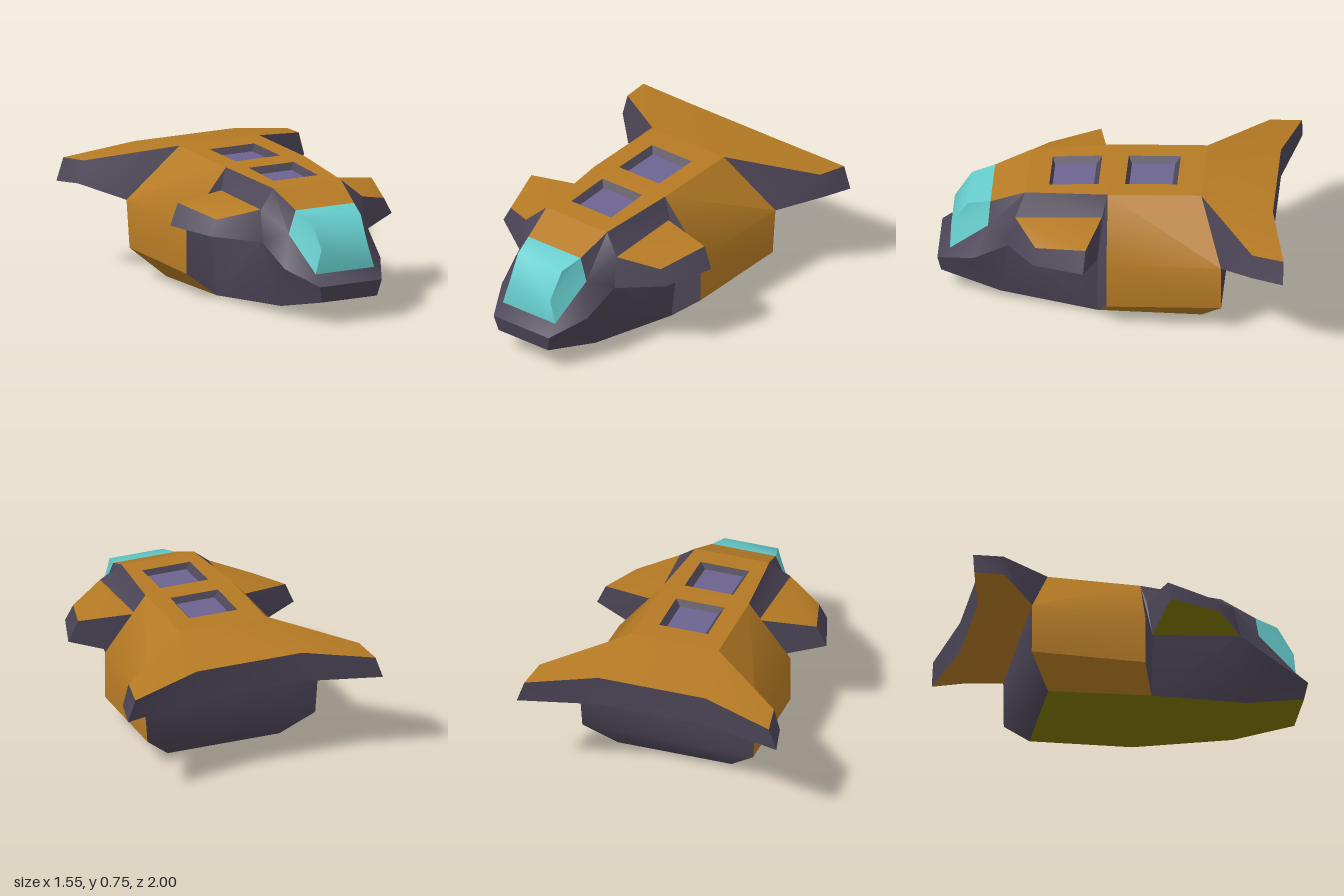
import * as THREE from 'three';
import { toCreasedNormals } from 'three/addons/utils/BufferGeometryUtils.js';

const ORANGE = 0xb57a24, DARK = 0x4c4556, OLIVE = 0x807800, TEAL = 0x66cccc, LILAC = 0x6c6490;

// Shared corners of the hull (left half, +x)
const noseTop = [0.2, 0.225, 1], noseLow = [0.18, 0.13, 0.98];
const cheek = [0.31, 0.3, 0.79], keelMid = [0.25, 0.05, 0.64], keelBack = [0.35, 0.01, 0.08];
const rootLow = [0.345, 0.42, 0.59], rootLowBack = [0.39, 0.37, 0.08];
const rootTop = [0.33, 0.6, 0.55], rootTopBack = [0.31, 0.61, 0.06];
const roofFront = [0.22, 0.7, 0.5], roofMid = [0.26, 0.732, 0.03], roofBack = [0.26, 0.75, -0.5];
const glassTop = [0.19, 0.61, 0.7], glassSide = [0.24, 0.48, 0.71], glassLow = [0.19, 0.285, 0.93];
const paneTop = [0.16, 0.573, 0.83], paneLow = [0.15, 0.42, 0.925];
const sideLow = [0.51, 0.14, 0.02], sideHigh = [0.51, 0.42, 0.02];
const backHigh = [0.53, 0.44, -0.63], backLow = [0.51, 0.16, -0.63], backKeel = [0.34, 0, -0.51];
// Front winglet and tail wing tips
const wTopF = [0.545, 0.54, 0.42], wTopB = [0.63, 0.59, 0.13], wLowF = [0.59, 0.45, 0.43], wLowB = [0.685, 0.465, 0.14];
const tTopF = [0.7, 0.65, -0.82], tTopB = [0.73, 0.635, -1], tLowF = [0.735, 0.52, -0.82], tLowB = [0.775, 0.505, -1];
const tMidTop = [0.32, 0.7, -0.91], tMidLow = [0.32, 0.52, -0.91];

const mirror = ([x, y, z]) => [-x, y, z];

// Fan of triangles, turned to face away from the inside point (or towards it when sign is -1)
function fan(points, inside, sign) {
  const v = points.map((p) => new THREE.Vector3(...p));
  const normal = new THREE.Vector3(), centre = new THREE.Vector3();
  v.forEach((p) => centre.addScaledVector(p, 1 / v.length));
  for (let i = 1; i < v.length - 1; i++) {
    normal.add(v[i].clone().sub(v[0]).cross(v[i + 1].clone().sub(v[0])));
  }
  const out = normal.dot(centre.sub(new THREE.Vector3(...inside))) * sign;
  const ring = out < 0 ? [...points].reverse() : points;
  const tris = [];
  for (let i = 1; i < ring.length - 1; i++) tris.push(ring[0], ring[i], ring[i + 1]);
  return tris;
}

// sides: faces repeated on both sides; spans: half outlines closed across the middle
function part(group, name, color, inside, { sides = [], spans = [] }, sign = 1) {
  const pts = [];
  for (const s of sides) {
    const tris = fan(s, inside, sign);
    pts.push(...tris, ...tris.map(mirror).reverse());
  }
  for (const s of spans) pts.push(...fan([...s, ...s.map(mirror).reverse()], inside, sign));
  const geo = new THREE.BufferGeometry();
  geo.setAttribute('position', new THREE.Float32BufferAttribute(pts.flat(), 3));
  const mesh = new THREE.Mesh(toCreasedNormals(geo, 0.75), new THREE.MeshStandardMaterial({ color }));
  mesh.name = name;
  group.add(mesh);
}

// Roof panel between two cross edges with a recessed hatch in it
function hatchedRoof(group, name, front, back, [zF, zB], [fF, fB]) {
  const at = (x, z, drop = 0) => {
    const t = (z - front[2]) / (back[2] - front[2]);
    return [x, front[1] + (back[1] - front[1]) * t - drop, z];
  };
  const rimF = at(0.145, zF), rimB = at(0.145, zB);
  const floorF = at(0.115, fF, 0.035), floorB = at(0.115, fB, 0.035);
  const below = [0, 0.3, (zF + zB) / 2], above = [0, 0.9, (zF + zB) / 2];
  part(group, name + 'Panel', ORANGE, below, {
    sides: [[front, back, rimB, rimF]],
    spans: [[front, rimF], [rimB, back]],
  });
  part(group, name + 'HatchWalls', DARK, above, {
    sides: [[rimF, rimB, floorB, floorF]],
    spans: [[rimF, floorF], [rimB, floorB]],
  }, -1);
  part(group, name + 'HatchFloor', LILAC, above, { spans: [[floorF, floorB]] }, -1);
}

export function createModel() {
  const ship = new THREE.Group();
  ship.name = 'shuttle';

  // Nose section
  const inNose = [0, 0.35, 0.5];
  part(ship, 'noseHull', DARK, inNose, {
    sides: [
      [noseLow, noseTop, cheek, keelMid],
      [keelMid, cheek, rootLow],
      [keelMid, rootLow, rootLowBack, keelBack],
      [noseTop, cheek, glassLow],
      [cheek, glassSide, glassLow],
      [cheek, rootLow, glassSide],
      [rootLow, rootTop, glassSide],
      [rootTop, roofFront, glassSide],
      [glassSide, glassTop, roofFront],
      [rootTop, roofFront, roofMid, rootTopBack],
    ],
    spans: [[noseLow, noseTop], [noseTop, glassLow]],
  });
  part(ship, 'browPanel', ORANGE, inNose, { spans: [[roofFront, glassTop]] });
  hatchedRoof(ship, 'frontRoof', roofFront, roofMid, [0.37, 0.09], [0.355, 0.12]);

  // Cockpit glass
  part(ship, 'windscreen', TEAL, [0, 0.4, 0.6], {
    sides: [[paneTop, glassTop, glassSide, glassLow, paneLow]],
    spans: [[glassTop, paneTop], [paneTop, paneLow], [paneLow, glassLow]],
  });

  // Front winglets
  const inWing = [0.45, 0.5, 0.25];
  part(ship, 'wingletTops', ORANGE, inWing, { sides: [[rootTop, wTopF, wTopB, rootTopBack]] });
  part(ship, 'wingletEdges', DARK, inWing, {
    sides: [
      [rootLow, rootTop, wTopF, wLowF],
      [wTopF, wTopB, wLowB, wLowF],
      [wTopB, rootTopBack, rootLowBack, wLowB],
    ],
  });
  part(ship, 'wingletUndersides', OLIVE, inWing, { sides: [[rootLow, wLowF, wLowB, rootLowBack]] });

  // Rear body
  const inBody = [0, 0.4, -0.25];
  part(ship, 'bodySides', ORANGE, inBody, {
    sides: [
      [sideLow, sideHigh, backHigh, backLow],
      [sideHigh, roofMid, roofBack, backHigh],
      [keelBack, sideLow, backLow, backKeel],
    ],
  });
  part(ship, 'bodyShoulders', DARK, inBody, {
    sides: [
      [keelBack, sideLow, sideHigh, rootLowBack],
      [rootLowBack, sideHigh, roofMid, rootTopBack],
    ],
  });
  part(ship, 'bodyBack', DARK, inBody, { spans: [[backHigh, backLow], [backLow, backKeel]] });
  hatchedRoof(ship, 'rearRoof', roofMid, roofBack, [-0.06, -0.355], [-0.08, -0.325]);

  // Belly
  part(ship, 'belly', OLIVE, [0, 0.4, 0.2], {
    spans: [[noseLow, keelMid], [keelMid, keelBack], [keelBack, backKeel]],
  });

  // Tail wing
  const inTail = [0, 0.6, -0.75];
  part(ship, 'tailWingTop', ORANGE, inTail, {
    sides: [[roofBack, tTopF, tTopB, tMidTop]],
    spans: [[roofBack, tMidTop]],
  });
  part(ship, 'tailWingEdges', DARK, inTail, {
    sides: [
      [roofBack, tTopF, tLowF, backHigh],
      [tTopF, tTopB, tLowB, tLowF],
      [tTopB, tMidTop, tMidLow, tLowB],
    ],
    spans: [[tMidTop, tMidLow]],
  });
  part(ship, 'tailWingUnderside', ORANGE, inTail, {
    sides: [[backHigh, tLowF, tLowB, tMidLow]],
    spans: [[backHigh, tMidLow]],
  });

  return ship;
}
